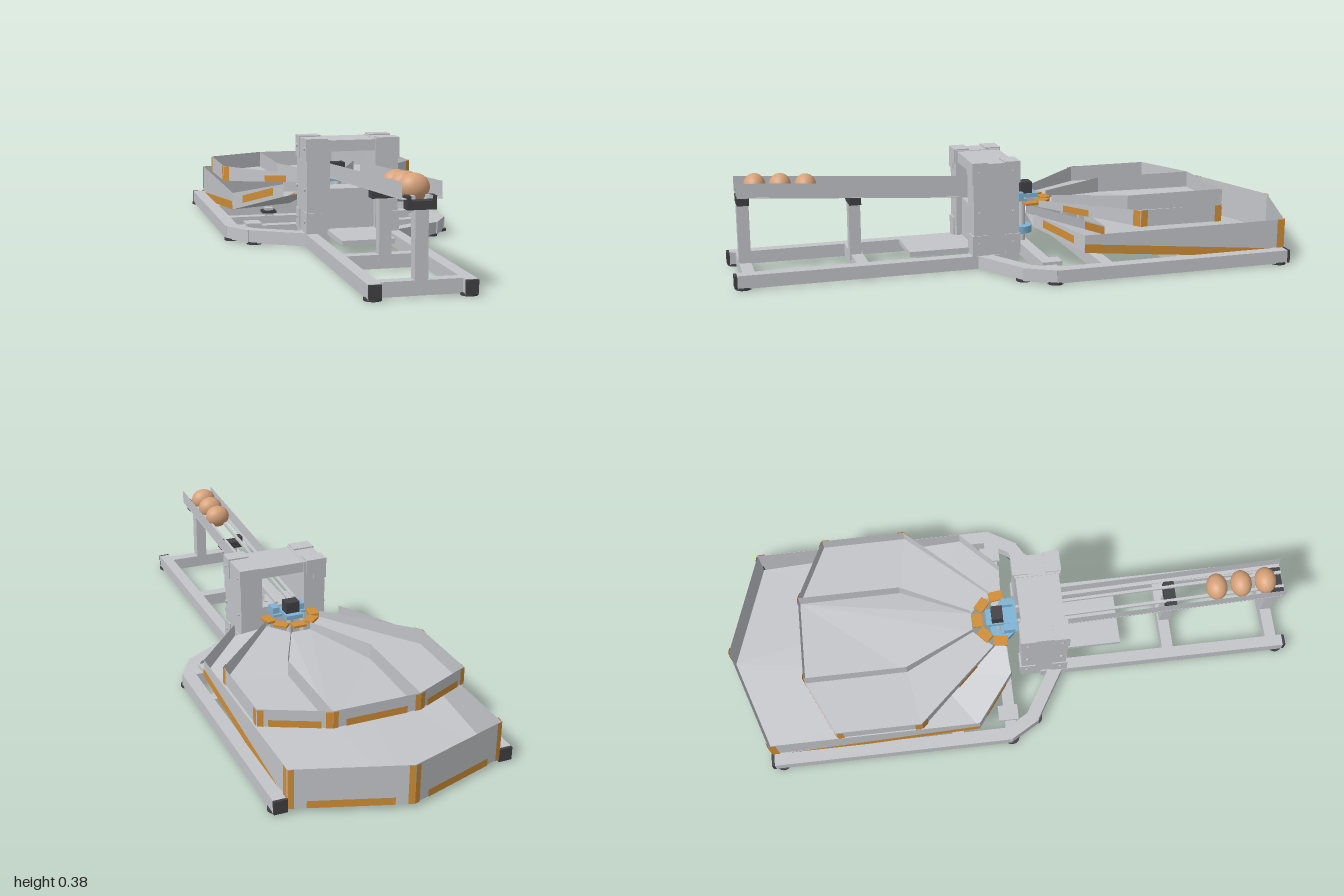
import * as THREE from 'three';

const mat = (name, color) => {
  const m = new THREE.MeshStandardMaterial({ color, side: THREE.DoubleSide });
  m.name = name;
  return m;
};

export function createModel() {
  const steel = mat('steel grey', 0xc3c5c9);
  const orange = mat('bracket orange', 0xd08e35);
  const dark = mat('rubber black', 0x414146);
  const blue = mat('holder blue', 0x7fb4d6);
  const shell = mat('egg shell', 0xd6a27a);
  const root = new THREE.Group();

  const add = (name, geo, m, parent = root) => {
    const mesh = new THREE.Mesh(geo, m);
    mesh.name = name;
    parent.add(mesh);
    return mesh;
  };
  // box from its min and max corners
  const box = (name, m, x0, x1, y0, y1, z0, z1) => {
    const b = add(name, new THREE.BoxGeometry(x1 - x0, y1 - y0, z1 - z0), m);
    b.position.set((x0 + x1) / 2, (y0 + y1) / 2, (z0 + z1) / 2);
    return b;
  };
  const pair = (name, m, x0, x1, ...r) => {
    box(name + 'Left', m, x0, x1, ...r);
    box(name + 'Right', m, -x1, -x0, ...r);
  };
  // bar of rectangular section between two points
  const bar = (name, m, a, b, w, h) => {
    const p = new THREE.Vector3(...a), q = new THREE.Vector3(...b);
    const mesh = add(name, new THREE.BoxGeometry(w, h, p.distanceTo(q)), m);
    mesh.position.copy(p).add(q).multiplyScalar(0.5);
    mesh.lookAt(q);
  };
  // flat-shaded surface from polygons, each split as a fan
  const sheet = (name, m, polys) => {
    const pos = [];
    for (const p of polys)
      for (let i = 1; i < p.length - 1; i++) pos.push(...p[0], ...p[i], ...p[i + 1]);
    const g = new THREE.BufferGeometry();
    g.setAttribute('position', new THREE.Float32BufferAttribute(pos, 3));
    g.computeVertexNormals();
    return add(name, g, m);
  };
  // wall stations are [x, z, bottom y, top y]
  const wall = (name, pts) => sheet(name, steel, pts.slice(1).map((q, i) => {
    const p = pts[i];
    return [[p[0], p[2], p[1]], [q[0], q[2], q[1]], [q[0], q[3], q[1]], [p[0], p[3], p[1]]];
  }));
  // thin plate on the outside of a wall segment, t along it, v above its bottom
  const plate = (p, q, t0, t1, v0, v1) => {
    const dx = q[0] - p[0], dz = q[1] - p[1], l = Math.hypot(dx, dz);
    let nx = dz / l, nz = -dx / l;
    if (nx * (p[0] + q[0]) + nz * (p[1] + q[1] + 0.8) < 0) { nx = -nx; nz = -nz; }
    const at = (t, v) => [p[0] + dx * t + nx * 0.003, p[2] + (q[2] - p[2]) * t + v, p[1] + dz * t + nz * 0.003];
    sheet('bracket', orange, [[at(t0, v0), at(t1, v0), at(t1, v1), at(t0, v1)]]);
  };
  const flip = (p) => [-p[0], ...p.slice(1)];

  // base frame
  const Y0 = 0.005, Y1 = 0.05;
  pair('frontRail', steel, 0.125, 0.165, Y0, Y1, 0.1, 0.99);
  pair('frontRailCap', dark, 0.126, 0.164, 0.008, 0.049, 0.99, 1);
  pair('rearRail', steel, 0.36, 0.405, Y0, Y1, -0.875, -0.03);
  pair('rearRailCap', dark, 0.36, 0.405, Y0, Y1, -0.885, -0.875);
  for (const z of [0.57, 0.95]) box('frontCrossbar', steel, -0.13, 0.13, Y0, Y1, z - 0.02, z + 0.02);
  for (const z of [-0.03, -0.22, -0.5]) box('rearCrossbar', steel, -0.37, 0.37, Y0, Y1, z - 0.02, z + 0.02);
  for (const s of [-1, 1]) {
    bar('frameDiagonal', steel, [s * 0.383, 0.0275, -0.04], [s * 0.325, 0.0275, 0.06], 0.045, 0.045);
    bar('frameDiagonal', steel, [s * 0.33, 0.0275, 0.05], [s * 0.14, 0.0275, 0.165], 0.045, 0.045);
    for (const [x, z] of [[0.385, -0.85], [0.383, -0.03], [0.145, 0.97], [0.32, 0.06]]) {
      const f = add('foot', new THREE.CylinderGeometry(0.027, 0.027, 0.008, 16), dark);
      f.position.set(s * x, 0.004, z);
    }
  }
  box('basePlate', steel, -0.09, 0.09, 0.045, 0.062, 0.15, 0.4);

  // gate housing
  pair('gateColumn', steel, 0.08, 0.16, 0.02, 0.37, 0.03, 0.19);
  box('gateBeam', steel, -0.09, 0.09, 0.33, 0.368, 0.035, 0.185);
  box('gatePanel', steel, -0.08, 0.08, 0.05, 0.2, 0.07, 0.17);
  for (const [z0, z1] of [[0.025, 0.08], [0.14, 0.195]]) {
    pair('topCorner', steel, 0.088, 0.164, 0.322, 0.375, z0, z1);
    pair('topCornerTab', steel, 0.115, 0.164, 0.3, 0.33, z0, z1);
    pair('bottomCorner', steel, 0.11, 0.164, 0.05, 0.12, z0, z1);
  }
  for (const s of [-1, 1])
    for (const y of [0.09, 0.2, 0.34])
      for (const z of [0.05, 0.17]) {
        const b = add('bolt', new THREE.CylinderGeometry(0.006, 0.006, 0.006, 8), steel);
        b.rotation.z = Math.PI / 2;
        b.position.set(s * 0.165, y, z);
      }

  // sloping feed chute
  const top = (z) => 0.285 + (z - 0.2) * 0.065;
  for (const s of [-1, 1]) {
    const c = [[0.97, -0.05], [0.06, -0.05], [0.06, 0], [0.97, 0]];
    sheet('chuteSide', steel, [c.map(([z, d]) => [s * 0.06, top(z) + d, z])]);
    bar('chuteRod', steel, [s * 0.026, top(0.97) - 0.045, 0.97], [s * 0.026, top(0.03) - 0.045, 0.03], 0.01, 0.01);
    bar('chuteFlange', steel, [s * 0.054, top(0.97) - 0.049, 0.97], [s * 0.054, top(0.06) - 0.049, 0.06], 0.014, 0.003);
  }
  for (const z of [0.95, 0.575]) {
    const h = top(z) - 0.055;
    box('chutePost', steel, -0.02, 0.02, 0.03, h - 0.025, z - 0.02, z + 0.02);
    box('chuteSaddle', dark, -0.044, 0.044, h - 0.025, h, z - 0.02, z + 0.02);
    pair('saddleEar', dark, 0.03, 0.045, h, h + 0.015, z - 0.018, z + 0.018);
  }
  for (const [z, y] of [[0.905, 0.31], [0.82, 0.305], [0.735, 0.298]]) {
    const e = add('egg', new THREE.SphereGeometry(1, 28, 20), shell);
    e.scale.set(0.047, 0.042, 0.037);
    e.position.set(-0.005, y, z);
  }

  // lower tray
  const lowHalf = [[0.08, -0.02, 0.168, 0.2], [0.2, -0.01, 0.15, 0.195], [0.36, -0.14, 0.09, 0.15],
    [0.36, -0.88, 0.015, 0.15], [0, -1, 0.015, 0.15]];
  const notch = [0.12, -0.3, 0.078, 0.11];
  const v = (p) => [p[0], p[2], p[1]];
  const floors = [];
  for (const f of [(p) => p, flip]) {
    const [a, b, c, d, e] = lowHalf.map(f), n = f(notch);
    floors.push([v(n), v(a), v(b), v(c)], [v(n), v(c), v(d)], [v(n), v(d), v(e), [0, n[2], n[1]]]);
    wall('lowerTrayWall', [b, c, d, e]);
    wall('lowerTrayInnerWall', [a, n]);
    plate(b, c, 0.2, 0.8, 0.015, 0.042);
    plate(c, d, 0, 0.97, 0, 0.03);
    plate(c, d, 0.965, 1, 0, 0.135);
    plate(d, e, 0, 0.05, 0, 0.135);
    plate(d, e, 0.15, 0.85, 0, 0.025);
    plate(d, e, 0.95, 1, 0, 0.135);
    plate(a, n, 0.75, 1, 0, 0.028);
  }
  wall('lowerTrayFrontWall', [notch, flip(notch)]);
  sheet('lowerTrayFloor', steel, floors);

  // upper tray with three lanes
  const upHalf = [[0.1, -0.06, 0.192, 0.215], [0.36, -0.34, 0.165, 0.222],
    [0.36, -0.635, 0.163, 0.222], [0.15, -0.735, 0.163, 0.222]];
  const lane = [[0.15, -0.735, 0.163, 0.222], [0.15, -0.375, 0.167, 0.222], [0.035, -0.13, 0.188, 0.215]];
  const upFloors = [[...lane.map(v), ...lane.map(flip).map(v).reverse()]];
  for (const f of [(p) => p, flip]) {
    const [a, b, c, d] = upHalf.map(f), [, m, i] = lane.map(f);
    upFloors.push([v(i), v(a), v(b), v(m)], [v(m), v(b), v(c), v(d)]);
    wall('upperTrayWall', [a, b, c, d]);
    wall('laneDivider', lane.map(f));
    plate(a, b, 0.25, 0.5, 0, 0.023);
    plate(a, b, 0.93, 1, 0, 0.055);
    plate(b, c, 0, 0.08, 0, 0.057);
    plate(b, c, 0.92, 1, 0, 0.057);
    plate(c, d, 0, 0.09, 0, 0.057);
    plate(c, d, 0.15, 0.85, 0, 0.024);
    plate(c, d, 0.91, 1, 0, 0.057);
  }
  wall('upperTrayBackWall', [upHalf[3], flip(upHalf[3])]);
  plate(upHalf[3], flip(upHalf[3]), 0, 0.06, 0, 0.057);
  plate(upHalf[3], flip(upHalf[3]), 0.15, 0.85, 0, 0.024);
  plate(upHalf[3], flip(upHalf[3]), 0.94, 1, 0, 0.057);
  sheet('upperTrayFloor', steel, upFloors);

  // fan of brackets around the turning head
  for (let k = -2; k <= 2; k++) {
    const a = k * 0.72;
    const b = add('fanBracket', new THREE.BoxGeometry(0.05, 0.008, 0.035), orange);
    b.position.set(Math.sin(a) * 0.085, 0.203, -0.025 - Math.cos(a) * 0.085);
    b.rotation.y = -a;
  }

  // turning head
  box('headPlate', blue, -0.06, 0.06, 0.205, 0.213, -0.03, 0.03);
  pair('headCheek', blue, 0.035, 0.06, 0.213, 0.235, -0.02, 0.02);
  box('headArm', blue, -0.03, 0.03, 0.21, 0.225, -0.08, 0);
  box('headMotor', dark, -0.025, 0.025, 0.225, 0.265, -0.06, -0.02);
  const shaft = add('headShaft', new THREE.CylinderGeometry(0.012, 0.012, 0.16, 16), steel);
  shaft.position.set(0, 0.128, -0.03);
  const hub = add('headHub', new THREE.CylinderGeometry(0.045, 0.045, 0.025, 20), blue);
  hub.position.set(0, 0.095, -0.02);

  // tray supports
  pair('supportPlate', steel, 0.28, 0.335, 0.045, 0.06, -0.07, 0);
  pair('traySupport', steel, 0.2, 0.23, 0.04, 0.079, -0.235, -0.205);
  pair('trayPad', dark, 0.19, 0.24, 0.06, 0.07, -0.245, -0.195);
  pair('upperTrayPost', steel, 0.08, 0.1, 0.04, 0.172, -0.23, -0.21);
  for (const x of [0.08, 0.24]) pair('floorPad', dark, x - 0.02, x + 0.02, 0.014, 0.021, -0.84, -0.81);
  return root;
}
